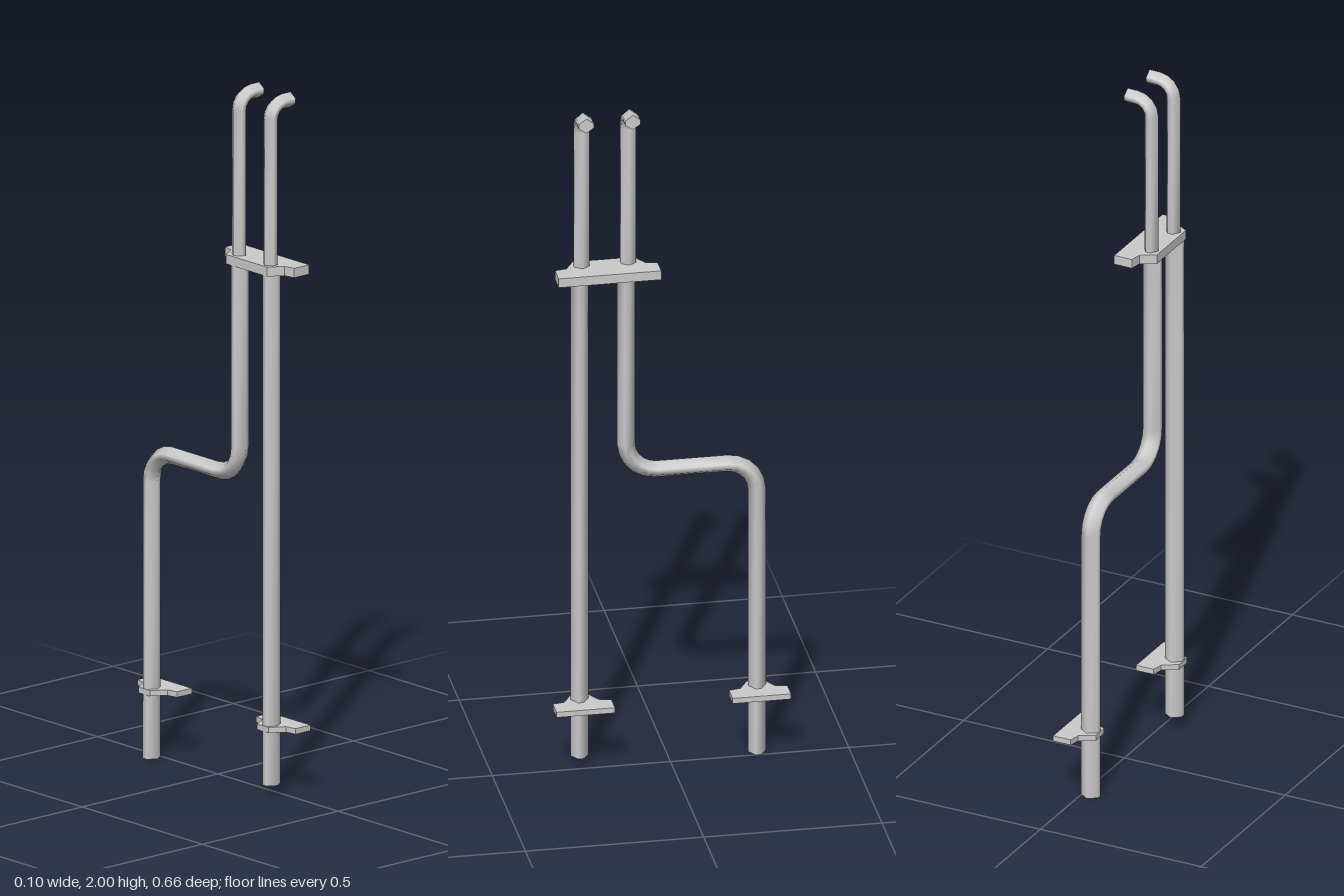
import * as THREE from 'three';

const V = (x, y, z) => new THREE.Vector3(x, y, z);
const material = new THREE.MeshStandardMaterial({ color: 0xcccccc, side: THREE.DoubleSide });

// Path of centre points whose inner corners are rounded by the given radius
function roundedPath(corners, radius, steps) {
  const path = [corners[0]];
  for (let i = 1; i < corners.length - 1; i++) {
    const c = corners[i];
    const u = corners[i - 1].clone().sub(c).normalize();
    const v = corners[i + 1].clone().sub(c).normalize();
    const centre = c.clone().addScaledVector(u, radius).addScaledVector(v, radius);
    for (let s = 0; s <= steps; s++) {
      const a = (s / steps) * Math.PI / 2;
      path.push(centre.clone()
        .addScaledVector(v, -radius * Math.cos(a))
        .addScaledVector(u, -radius * Math.sin(a)));
    }
  }
  path.push(corners[corners.length - 1]);
  return path;
}

// Six-sided pipe swept along a planar path; the ridge lies in the plane of the bend
function pipe(name, path, planeNormal, ridge, flat) {
  const c = ridge * 0.32;
  const section = [[ridge, 0], [c, flat], [-c, flat], [-ridge, 0], [-c, -flat], [c, -flat]];
  const n = section.length;
  const rings = path.map((p, i) => {
    const before = p.clone().sub(path[Math.max(i - 1, 0)]).normalize();
    const after = path[Math.min(i + 1, path.length - 1)].clone().sub(p).normalize();
    const normal = planeNormal.clone().cross(before.add(after).normalize());
    return section.map(([u, w]) =>
      p.clone().addScaledVector(normal, u).addScaledVector(planeNormal, w));
  });
  const points = rings.flat();
  const index = [];
  for (let i = 0; i < rings.length - 1; i++) {
    for (let j = 0; j < n; j++) {
      const a = i * n + j, b = i * n + (j + 1) % n;
      index.push(a, b, b + n, a, b + n, a + n);
    }
  }
  // Caps use their own vertices so the ends stay sharp
  const first = points.length, last = first + n;
  points.push(...rings[0], ...rings[rings.length - 1]);
  for (let j = 1; j < n - 1; j++) {
    index.push(first, first + j + 1, first + j, last, last + j, last + j + 1);
  }
  const geometry = new THREE.BufferGeometry().setFromPoints(points);
  geometry.setIndex(index);
  geometry.computeVertexNormals();
  const mesh = new THREE.Mesh(geometry, material);
  mesh.name = name;
  return mesh;
}

// Flat wall bracket with a tapered nose around the pipe
function bracket(name, z, halfLength, y, thickness) {
  const h = halfLength;
  const half = [[0.05, h], [-0.005, h], [-0.011, h - 0.033], [-0.053, h - 0.058]];
  const outline = [...half, ...half.map(([x, d]) => [x, -d]).reverse()];
  const shape = new THREE.Shape(outline.map(([x, d]) => new THREE.Vector2(x, d)));
  const geometry = new THREE.ExtrudeGeometry(shape, { depth: thickness, bevelEnabled: false });
  geometry.rotateX(-Math.PI / 2);
  const mesh = new THREE.Mesh(geometry, material);
  mesh.name = name;
  mesh.position.set(0, y, z);
  return mesh;
}

export function createModel() {
  const group = new THREE.Group();
  group.name = 'wallPipes';
  const x = -0.025, joint = 1.506;

  // Lower pipes: one straight, one offset by a double bend
  group.add(pipe('straightPipe', [V(x, 0.03, 0.251), V(x, joint, 0.251)], V(1, 0, 0), 0.025, 0.026));
  group.add(pipe('offsetPipe', roundedPath([
    V(x, 0, -0.247), V(x, 0.883, -0.247), V(x, 0.883, 0.12), V(x, joint, 0.12),
  ], 0.085, 5), V(1, 0, 0), 0.025, 0.026));

  // Thinner upper pipes that turn into the wall
  for (const [name, z] of [['frontUpperPipe', 0.2455], ['rearUpperPipe', 0.115]]) {
    group.add(pipe(name, roundedPath([
      V(-0.024, joint, z), V(-0.024, 1.978, z), V(0.05, 1.978, z),
    ], 0.045, 4), V(0, 0, 1), 0.022, 0.021));
  }

  // Brackets
  group.add(bracket('upperBracket', 0.179, 0.144, 1.493, 0.027));
  group.add(bracket('lowerFrontBracket', 0.247, 0.082, 0.185, 0.016));
  group.add(bracket('lowerRearBracket', -0.247, 0.082, 0.185, 0.016));
  return group;
}
